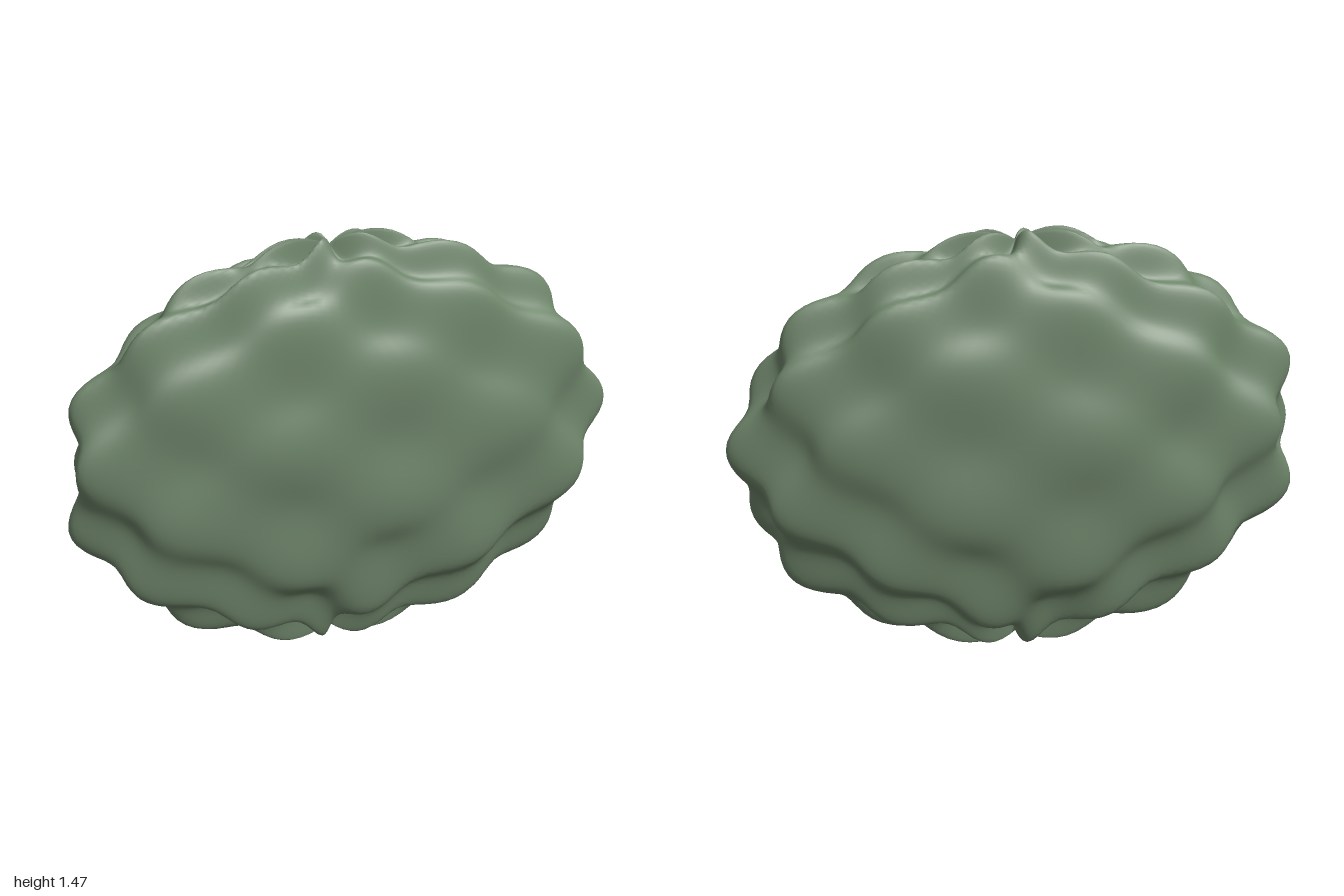
import * as THREE from 'three';
import { mergeVertices } from 'three/addons/utils/BufferGeometryUtils.js';

// Flattened, knobbly pad: an ellipsoid swelled by waves round its upright axis
function wavyPad(halfWidth, halfHeight, halfDepth) {
  let geo = new THREE.SphereGeometry(1, 112, 80);
  geo.deleteAttribute('uv');
  geo.deleteAttribute('normal');
  geo = mergeVertices(geo, 1e-4);

  const pos = geo.attributes.position;
  const p = new THREE.Vector3();
  for (let i = 0; i < pos.count; i++) {
    p.fromBufferAttribute(pos, i).normalize();
    const around = Math.atan2(p.z, p.x);
    const down = Math.acos(THREE.MathUtils.clamp(p.y, -1, 1));
    // Rows of alternating knobs, plus a slow three-fold swell
    const knobs = 0.065 * Math.cos(7 * around) * Math.sin(9 * down);
    const swell = 0.03 * Math.sin(3 * around) * Math.sin(down);
    p.multiplyScalar(1 + knobs + swell);
    pos.setXYZ(i, p.x * halfWidth, p.y * halfHeight, p.z * halfDepth);
  }
  geo.computeVertexNormals();
  return geo;
}

export function createModel() {
  const group = new THREE.Group();
  group.name = 'wavyPad';
  const sageGreen = new THREE.MeshStandardMaterial({ color: 0x6f866b });
  sageGreen.name = 'sageGreen';
  const body = new THREE.Mesh(wavyPad(0.965, 0.696, 0.183), sageGreen);
  body.name = 'padBody';
  body.position.set(-0.03, 0.73, 0.005);
  group.add(body);
  return group;
}
